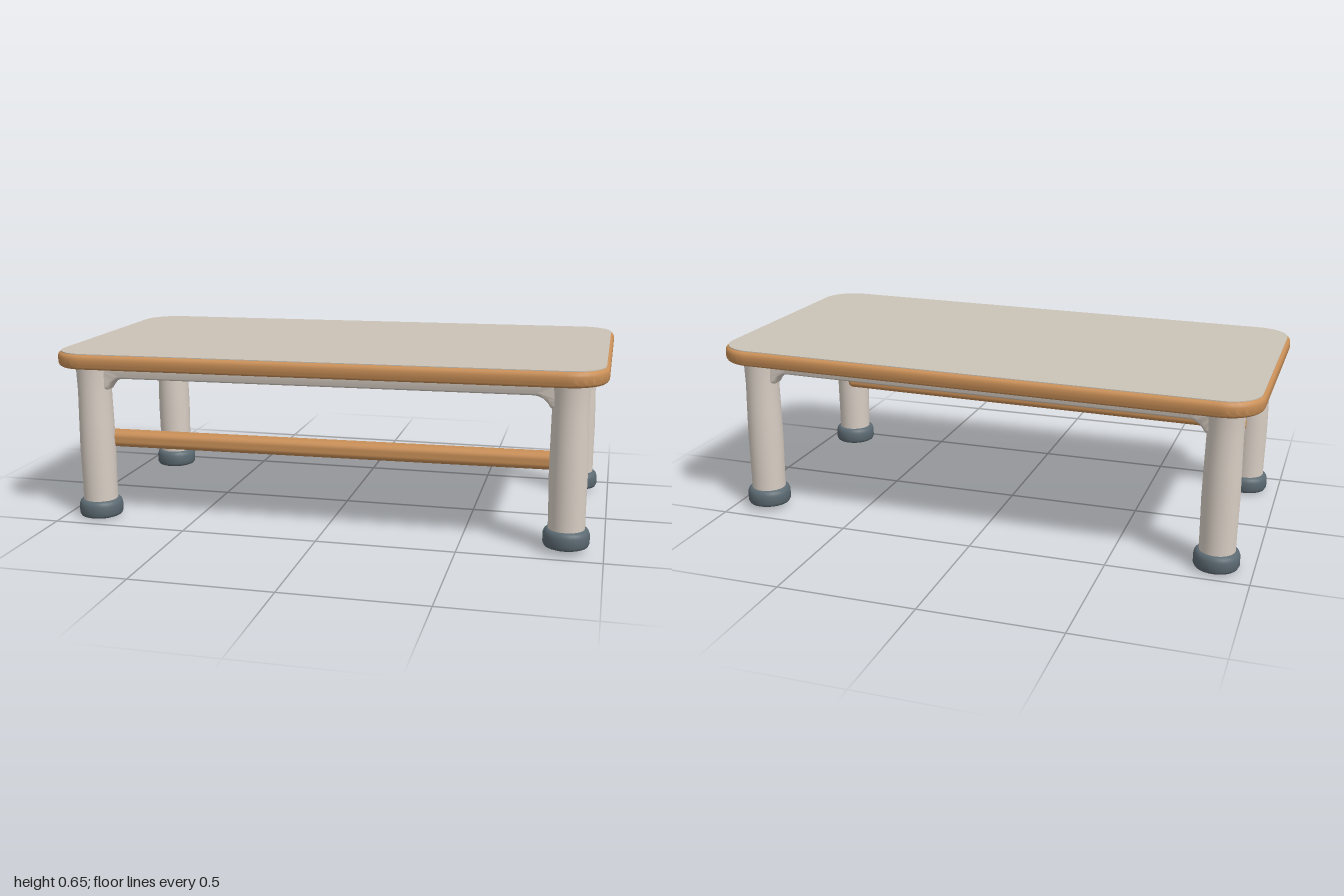
import * as THREE from 'three';
import { RoundedBoxGeometry } from 'three/addons/geometries/RoundedBoxGeometry.js';
import { toCreasedNormals } from 'three/addons/utils/BufferGeometryUtils.js';

const material = (name, color) => {
  const m = new THREE.MeshStandardMaterial({ color });
  m.name = name;
  return m;
};

// Rounded rectangle centred on the origin
function roundedRect(w, d, r) {
  const s = new THREE.Shape();
  const x = w / 2, y = d / 2;
  s.moveTo(-x + r, -y);
  s.lineTo(x - r, -y);
  s.absarc(x - r, -y + r, r, -Math.PI / 2, 0);
  s.lineTo(x, y - r);
  s.absarc(x - r, y - r, r, 0, Math.PI / 2);
  s.lineTo(-x + r, y);
  s.absarc(-x + r, y - r, r, Math.PI / 2, Math.PI);
  s.lineTo(-x, -y + r);
  s.absarc(-x + r, -y + r, r, Math.PI, Math.PI * 1.5);
  return s;
}

// Horizontal slab with rounded edges, from y0 to y1
function slab(w, d, r, y0, y1, bevel) {
  const g = new THREE.ExtrudeGeometry(roundedRect(w - 2 * bevel, d - 2 * bevel, r - bevel), {
    depth: y1 - y0 - 2 * bevel, bevelEnabled: bevel > 0, bevelSize: bevel,
    bevelThickness: bevel, bevelSegments: 4, curveSegments: 10,
  });
  g.rotateX(-Math.PI / 2);
  g.translate(0, y0 + bevel, 0);
  return toCreasedNormals(g, 0.7);
}

// Rail between two legs whose underside curves down into the legs
function rail(half, legEdge, top, mid, low, reach, thickness) {
  const b = 0.014;
  const s = new THREE.Shape();
  const e = legEdge, f = legEdge - reach;
  s.moveTo(-half, top);
  s.lineTo(-half, low + b);
  s.lineTo(-e, low + b);
  s.quadraticCurveTo(-e + reach * 0.35, mid + b, -f, mid + b);
  s.lineTo(f, mid + b);
  s.quadraticCurveTo(e - reach * 0.35, mid + b, e, low + b);
  s.lineTo(half, low + b);
  s.lineTo(half, top);
  const g = new THREE.ExtrudeGeometry(s, {
    depth: thickness - 2 * b, bevelSize: b, bevelThickness: b, bevelSegments: 4, curveSegments: 8,
  });
  g.translate(0, 0, -thickness / 2 + b);
  return toCreasedNormals(g, 0.8);
}

const lathe = (points) =>
  new THREE.LatheGeometry(points.map(([x, y]) => new THREE.Vector2(x, y)), 28);

export function createModel() {
  const wood = material('wood', 0xc98f57);
  const top = material('top laminate', 0xcbc3b7);
  const frame = material('cream frame', 0xd8cec4);
  const rubber = material('grey rubber', 0x5c6a72);

  const model = new THREE.Group();
  model.name = 'table';
  const table = new THREE.Group();
  table.name = 'tableBody';
  model.add(table);
  const add = (name, geometry, mat, x = 0, y = 0, z = 0) => {
    const mesh = new THREE.Mesh(geometry, mat);
    mesh.name = name;
    mesh.position.set(x, y, z);
    table.add(mesh);
    return mesh;
  };

  // Table top: wooden slab, pale surface, and pale panel underneath
  add('topRim', slab(1.995, 1.03, 0.135, 0.58, 0.636, 0.018), wood);
  add('topSurface', slab(1.972, 1.004, 0.122, 0.63, 0.638, 0), top);
  add('undersidePanel', slab(1.74, 0.76, 0.02, 0.575, 0.583, 0), top);

  // Legs and feet
  const legX = 0.872, legZ = 0.382;
  const legGeometry = lathe([[0.064, 0.04], [0.064, 0.12], [0.066, 0.26], [0.064, 0.38],
    [0.062, 0.48], [0.064, 0.55], [0.068, 0.59]]);
  const footGeometry = toCreasedNormals(lathe([[0, 0], [0.066, 0], [0.076, 0.004], [0.081, 0.014],
    [0.081, 0.046], [0.077, 0.058], [0.07, 0.065], [0.055, 0.066]]), 0.9);
  for (const sx of [-1, 1]) {
    for (const sz of [-1, 1]) {
      const name = (sz > 0 ? 'front' : 'back') + (sx > 0 ? 'Left' : 'Right');
      add(name + 'Leg', legGeometry, frame, sx * legX, 0, sz * legZ);
      add(name + 'Foot', footGeometry, rubber, sx * legX, 0, sz * legZ);
    }
  }

  // Rails under the top
  const longRail = rail(legX, 0.815, 0.585, 0.532, 0.49, 0.07, 0.066);
  const shortRail = rail(legZ, 0.33, 0.585, 0.508, 0.445, 0.13, 0.066);
  for (const s of [-1, 1]) {
    add(s > 0 ? 'frontRail' : 'backRail', longRail, frame, 0, 0, s * legZ);
    add(s > 0 ? 'leftRail' : 'rightRail', shortRail, frame, s * legX, 0, 0).rotation.y = Math.PI / 2;
  }

  // Wooden stretcher between the front legs
  add('frontStretcher', new RoundedBoxGeometry(1.73, 0.06, 0.07, 4, 0.022), wood, 0, 0.292, 0.338);

  // Slight handmade lean
  table.rotation.set(0, -0.006, 0.0085);
  table.position.y = 0.008;
  return model;
}
